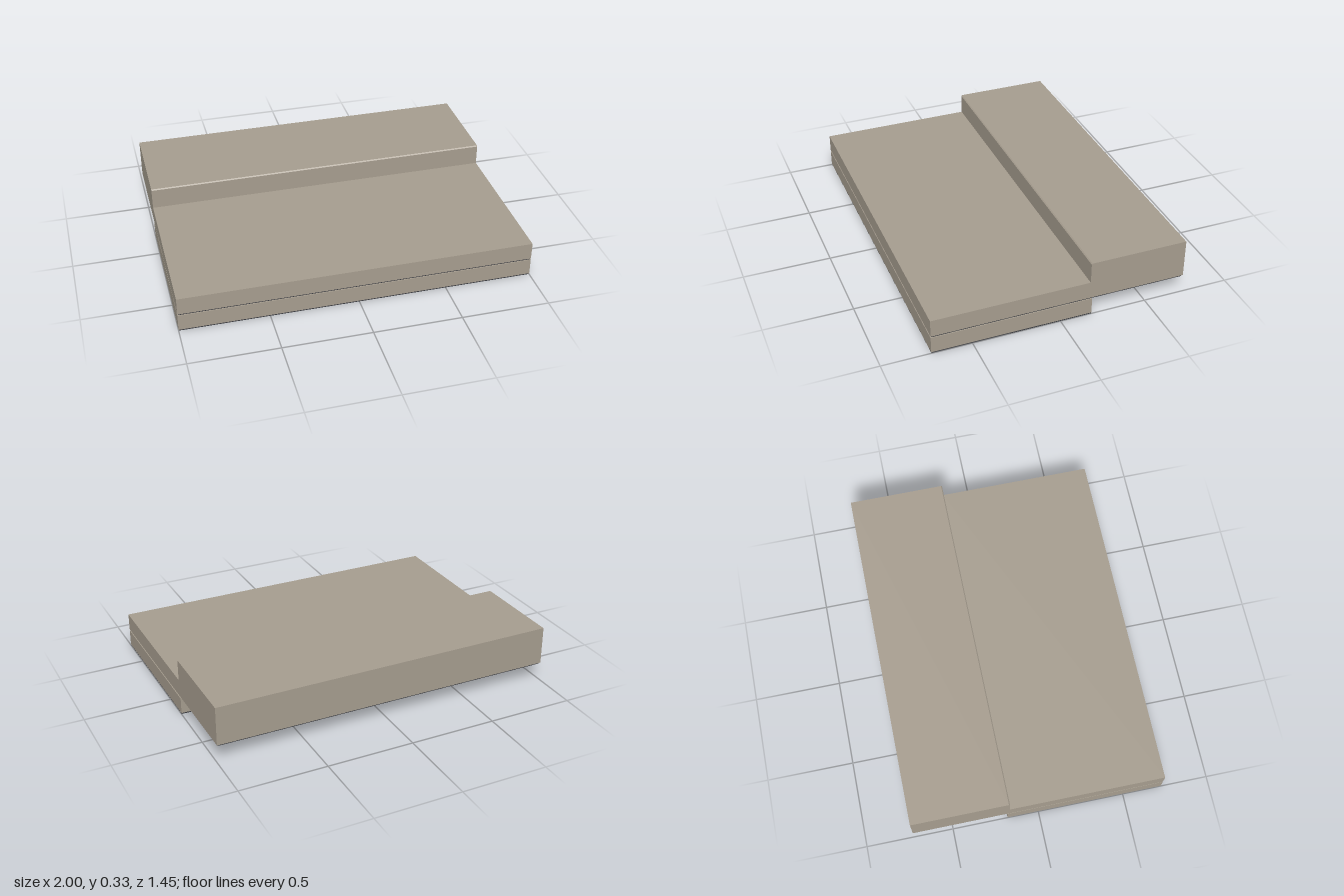
import * as THREE from 'three';

const stone = new THREE.MeshStandardMaterial({ color: 0xa69d8f });
const dark = new THREE.MeshStandardMaterial({ color: 0x3c3d42 });

// Extrude a side profile of [z, y] points across the width, centred on x = 0
function slab(name, profile, width, material) {
  const shape = new THREE.Shape(profile.map(([z, y]) => new THREE.Vector2(-z, y)));
  const geometry = new THREE.ExtrudeGeometry(shape, { depth: width, bevelEnabled: false });
  geometry.translate(0, 0, -width / 2);
  geometry.rotateY(Math.PI / 2);
  const mesh = new THREE.Mesh(geometry, material);
  mesh.name = name;
  return mesh;
}

const rect = (z0, z1, y0, y1) => [[z1, y0], [z0, y0], [z0, y1], [z1, y1]];

export function createModel() {
  const group = new THREE.Group();
  group.name = 'steppedSlabs';

  // Upper body: thin front deck and raised rear block with a small chamfer
  group.add(slab('upperStep', [
    [0.727, 0.11], [-0.727, 0.11], [-0.727, 0.333], [-0.174, 0.333],
    [-0.168, 0.327], [-0.168, 0.21], [0.727, 0.21],
  ], 2, stone));

  // Thin inset pad under the upper body
  group.add(slab('upperPad', rect(-0.719, 0.721, 0.101, 0.11), 1.988, dark));

  // Lower body and its pad
  group.add(slab('lowerStep', rect(-0.181, 0.727, 0.007, 0.101), 2, stone));
  group.add(slab('lowerPad', rect(-0.179, 0.725, 0, 0.007), 1.996, dark));

  return group;
}
